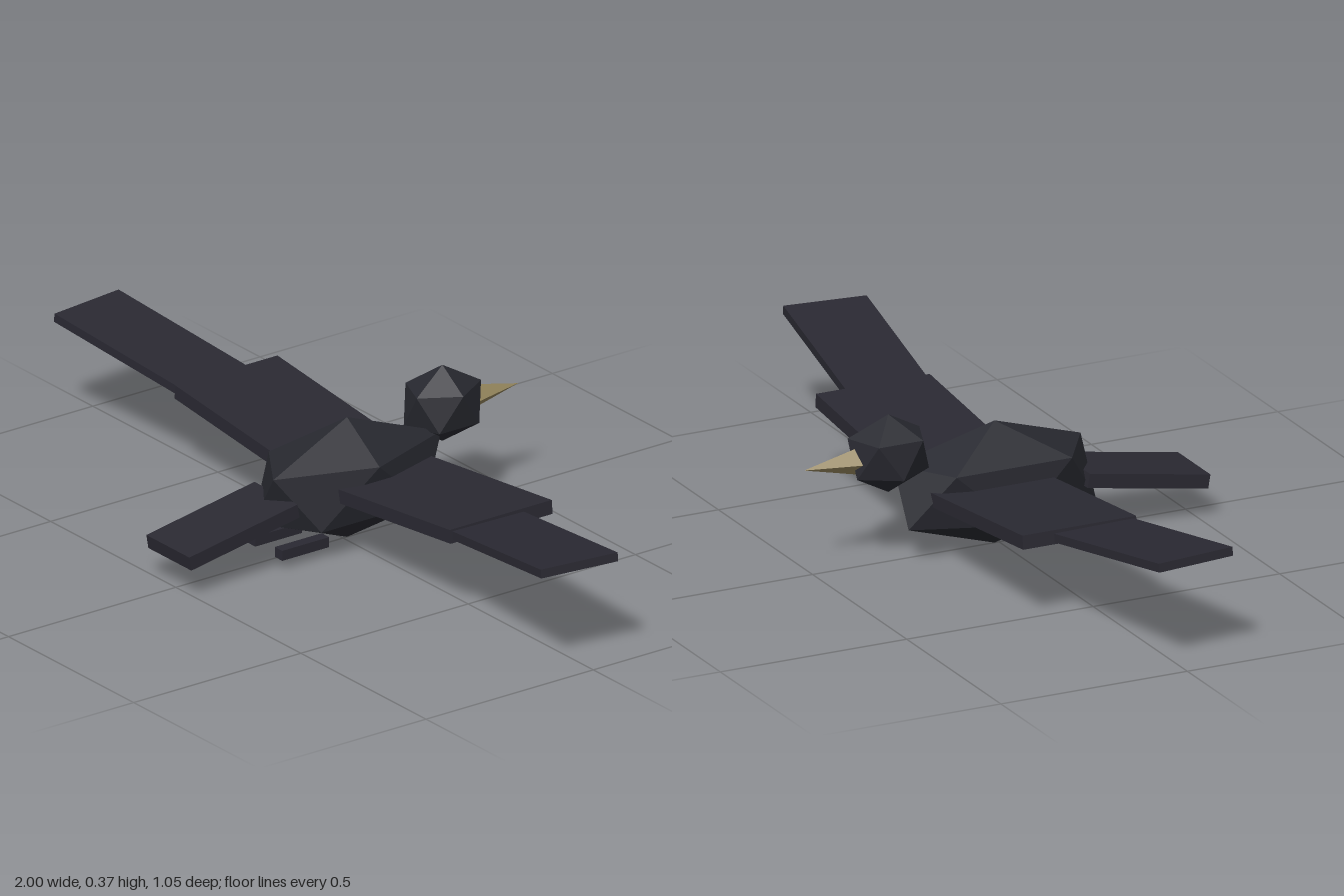
import * as THREE from 'three';

const plumage = new THREE.MeshStandardMaterial({ color: 0x27282f });
plumage.name = 'plumage';
const feather = new THREE.MeshStandardMaterial({ color: 0x2a2932 });
feather.name = 'feather';
const horn = new THREE.MeshStandardMaterial({ color: 0x93845c });
horn.name = 'horn';

function part(parent, name, geometry, material, position, rotation = [0, 0, 0]) {
  const mesh = new THREE.Mesh(geometry, material);
  mesh.name = name;
  mesh.position.set(...position);
  mesh.rotation.set(...rotation);
  parent.add(mesh);
  return mesh;
}

// Faceted 20-sided ball standing on a corner, with an upper corner towards +x
function facetedBall(rx, ry, rz) {
  const g = new THREE.IcosahedronGeometry(1, 0);
  g.rotateX(-Math.atan2(0.8507, 0.5257));
  g.rotateY(Math.PI / 2);
  g.scale(rx, ry, rz);
  g.computeVertexNormals();
  return g;
}

export function createModel() {
  const bird = new THREE.Group();
  bird.name = 'bird';

  // Body and head
  part(bird, 'body', facetedBall(0.146, 0.156, 0.295), plumage, [0, 0.159, -0.012]);
  part(bird, 'head', facetedBall(0.094, 0.099, 0.113), plumage, [0, 0.279, -0.297]);

  // Four-sided beak pointing to -z
  const cone = new THREE.ConeGeometry(0.034, 0.143, 4).toNonIndexed();
  cone.computeVertexNormals();
  part(bird, 'beak', cone, horn, [0, 0.272, -0.4515], [-Math.PI / 2, 0, 0]);

  // Tail slopes down to the rear
  part(bird, 'tail', new THREE.BoxGeometry(0.172, 0.036, 0.328), feather,
    [0, 0.126, 0.359], [0.17, 0, 0]);

  // Two-part raised wings and feet, mirrored
  for (const s of [1, -1]) {
    const side = s > 0 ? 'left' : 'right';
    part(bird, side + 'InnerWing', new THREE.BoxGeometry(0.553, 0.035, 0.305), feather,
      [s * 0.275, 0.189, -0.0615], [0, 0, s * 0.105]);
    part(bird, side + 'OuterWing', new THREE.BoxGeometry(0.455, 0.022, 0.212), feather,
      [s * 0.762, 0.247, 0.003], [0, -s * 0.122, s * 0.136]);
    part(bird, side + 'Foot', new THREE.BoxGeometry(0.03, 0.026, 0.14), feather,
      [s * 0.054, 0.04, 0.163]);
  }
  return bird;
}
